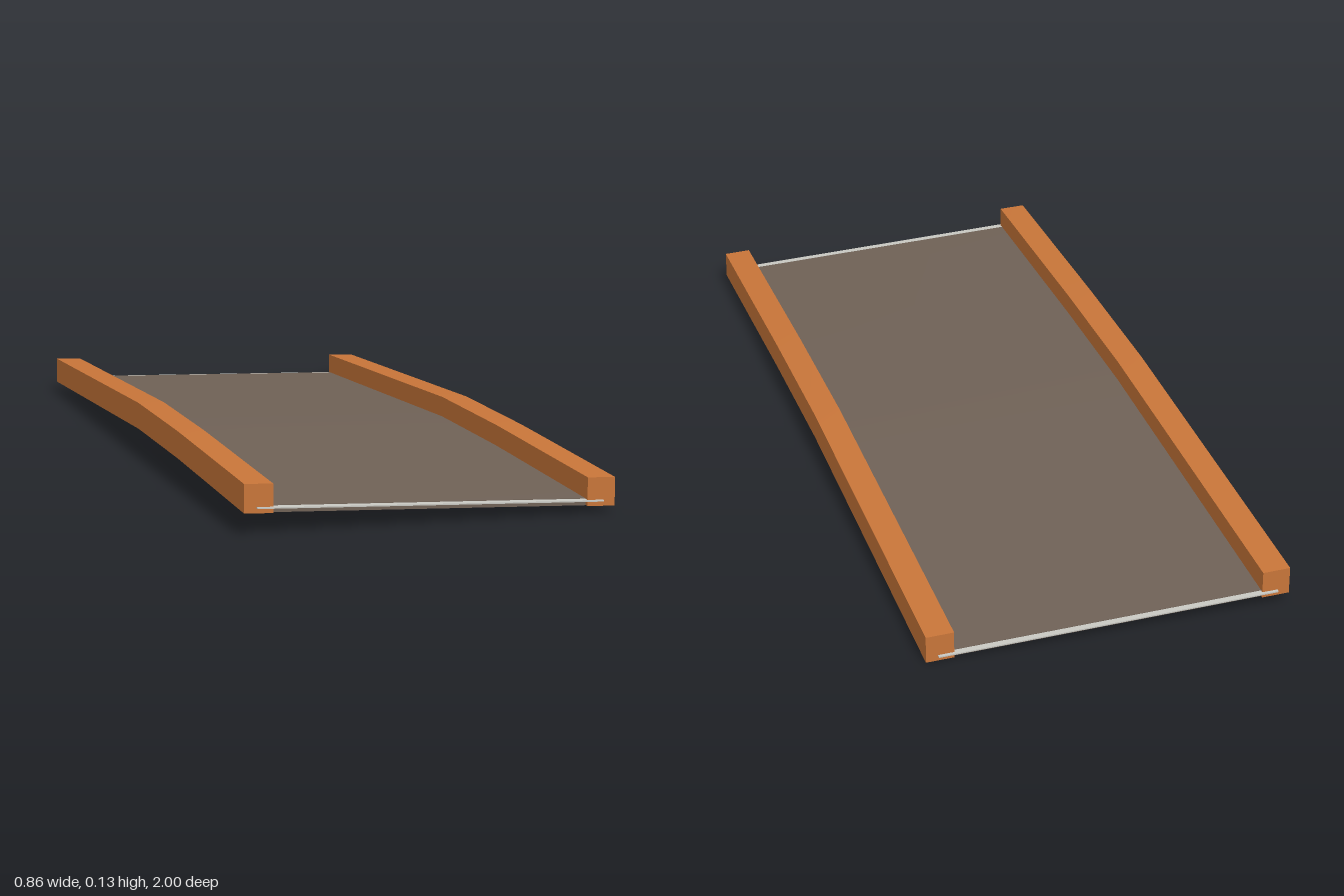
import * as THREE from 'three';

// Height of the underside on the centre line, as [z, y] stations
const profile = [[-1, 0.015], [0, 0.0525], [0.4, 0.0495], [1, 0.034]];

function baseHeight(z) {
  let i = 0;
  while (i < profile.length - 2 && z > profile[i + 1][0]) i++;
  const [z0, y0] = profile[i];
  const [z1, y1] = profile[i + 1];
  return y0 + ((y1 - y0) * (z - z0)) / (z1 - z0);
}

// Sideways tilt, a little stronger towards the front
const tilt = (z) => -0.029 - 0.008 * Math.max(0, z);

// Box that follows the arched, tilted roadway; bottom is measured from the underside
function archedBox(name, material, x0, x1, bottom, height, z0, z1, segments) {
  const geometry = new THREE.BoxGeometry(x1 - x0, height, z1 - z0, 1, 1, segments);
  geometry.translate((x0 + x1) / 2, bottom + height / 2, (z0 + z1) / 2);
  const p = geometry.attributes.position;
  for (let i = 0; i < p.count; i++) {
    const z = p.getZ(i);
    p.setY(i, p.getY(i) + baseHeight(z) + tilt(z) * p.getX(i));
  }
  geometry.computeVertexNormals();
  const mesh = new THREE.Mesh(geometry, material);
  mesh.name = name;
  return mesh;
}

export function createModel() {
  const orange = new THREE.MeshStandardMaterial({ color: 0xc87539 });
  orange.name = 'orange';
  const brown = new THREE.MeshStandardMaterial({ color: 0x6f6156 });
  brown.name = 'greyBrown';
  const pale = new THREE.MeshStandardMaterial({ color: 0xc8c8c2 });
  pale.name = 'paleGrey';

  const group = new THREE.Group();
  group.name = 'archedBridge';

  // Roadway slab
  group.add(archedBox('deck', brown, -0.4, 0.4, -0.001, 0.016, -0.985, 0.98, 20));

  // Kerb beams along both sides
  group.add(archedBox('leftKerb', orange, 0.363, 0.428, 0, 0.065, -0.993, 0.993, 20));
  group.add(archedBox('rightKerb', orange, -0.428, -0.363, 0, 0.065, -0.993, 0.993, 20));

  // Thin pale joint plates at the two ends
  group.add(archedBox('frontJoint', pale, -0.4, 0.4, 0.011, 0.003, 0.97, 1, 1));
  group.add(archedBox('backJoint', pale, -0.4, 0.4, 0.011, 0.003, -1, -0.97, 1));

  return group;
}
